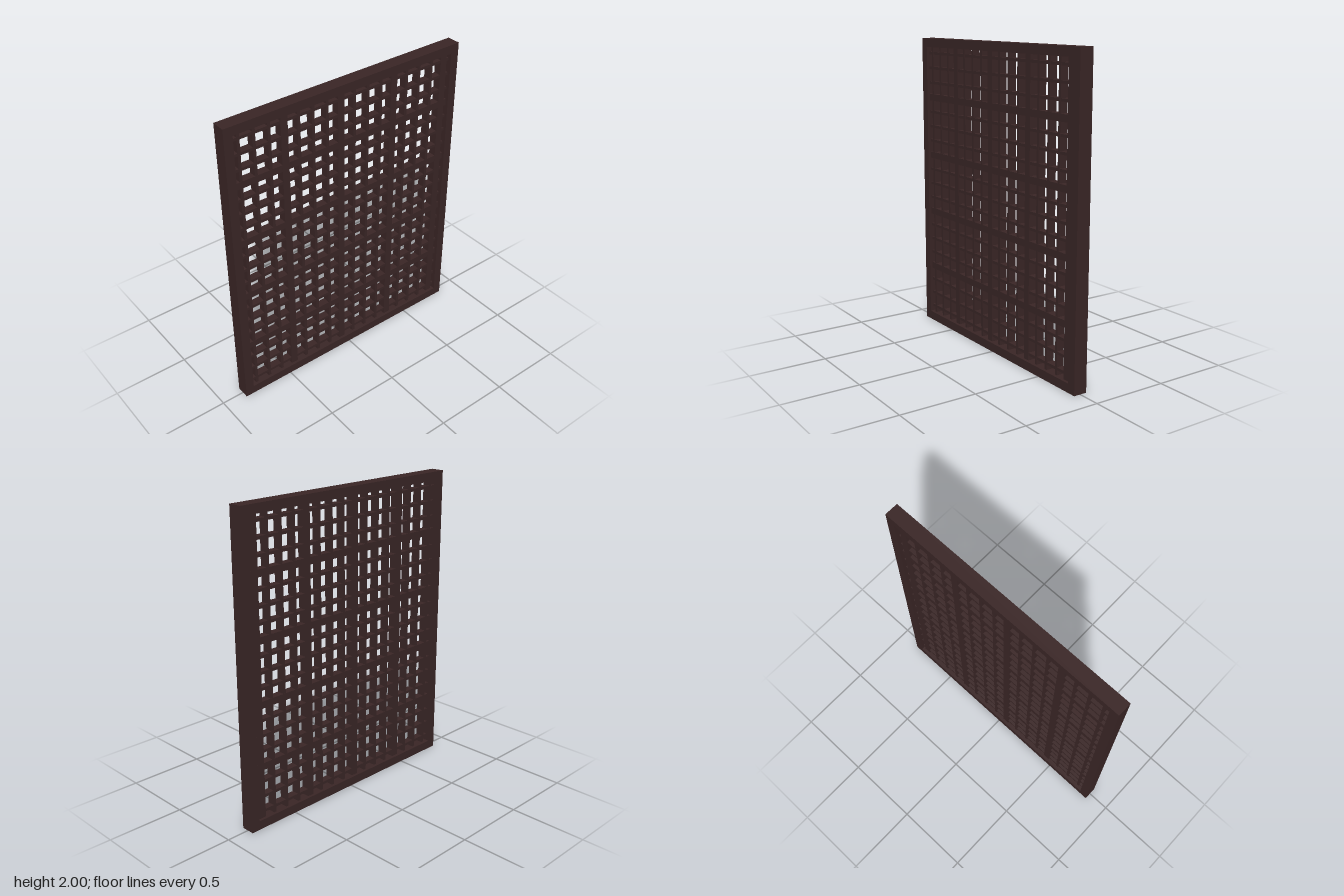
import * as THREE from 'three';

const W = 1.7, H = 2, FRAME = 0.058, DEPTH = 0.09;

export function createModel() {
  const model = new THREE.Group();
  model.name = 'latticeScreen';
  const wood = new THREE.MeshStandardMaterial({ color: 0x3a2626 });
  wood.name = 'darkWood';

  // Outer frame: one rectangle with a rectangular opening
  const outline = new THREE.Shape([
    new THREE.Vector2(-W / 2, 0), new THREE.Vector2(W / 2, 0),
    new THREE.Vector2(W / 2, H), new THREE.Vector2(-W / 2, H),
  ]);
  const ix = W / 2 - FRAME;
  outline.holes.push(new THREE.Path([
    new THREE.Vector2(-ix, FRAME), new THREE.Vector2(-ix, H - FRAME),
    new THREE.Vector2(ix, H - FRAME), new THREE.Vector2(ix, FRAME),
  ]));
  const frameGeo = new THREE.ExtrudeGeometry(outline, { depth: DEPTH, bevelEnabled: false });
  frameGeo.translate(0, 0, -DEPTH / 2);
  const frame = new THREE.Mesh(frameGeo, wood);
  frame.name = 'frame';
  model.add(frame);

  const lattice = new THREE.Group();
  lattice.name = 'lattice';
  model.add(lattice);
  const bar = (name, w, h, d, x, y) => {
    const mesh = new THREE.Mesh(new THREE.BoxGeometry(w, h, d), wood);
    mesh.name = name;
    mesh.position.set(x, y, 0);
    lattice.add(mesh);
  };

  // Upright bars, every fourth one thick
  for (let i = 0; i < 16; i++) {
    const thick = i % 4 === 3;
    bar(thick ? 'thickUpright' : 'thinUpright', thick ? 0.047 : 0.019,
      H - FRAME, thick ? 0.053 : 0.05, -0.75 + i * 0.1, H / 2);
  }

  // Cross bars, every fourth one thick
  for (let j = 1; j < 20; j++) {
    const thick = j % 4 === 0;
    bar(thick ? 'thickCrossbar' : 'thinCrossbar', W - FRAME,
      thick ? 0.045 : 0.018, thick ? 0.052 : 0.049, 0, j * 0.1);
  }
  return model;
}
